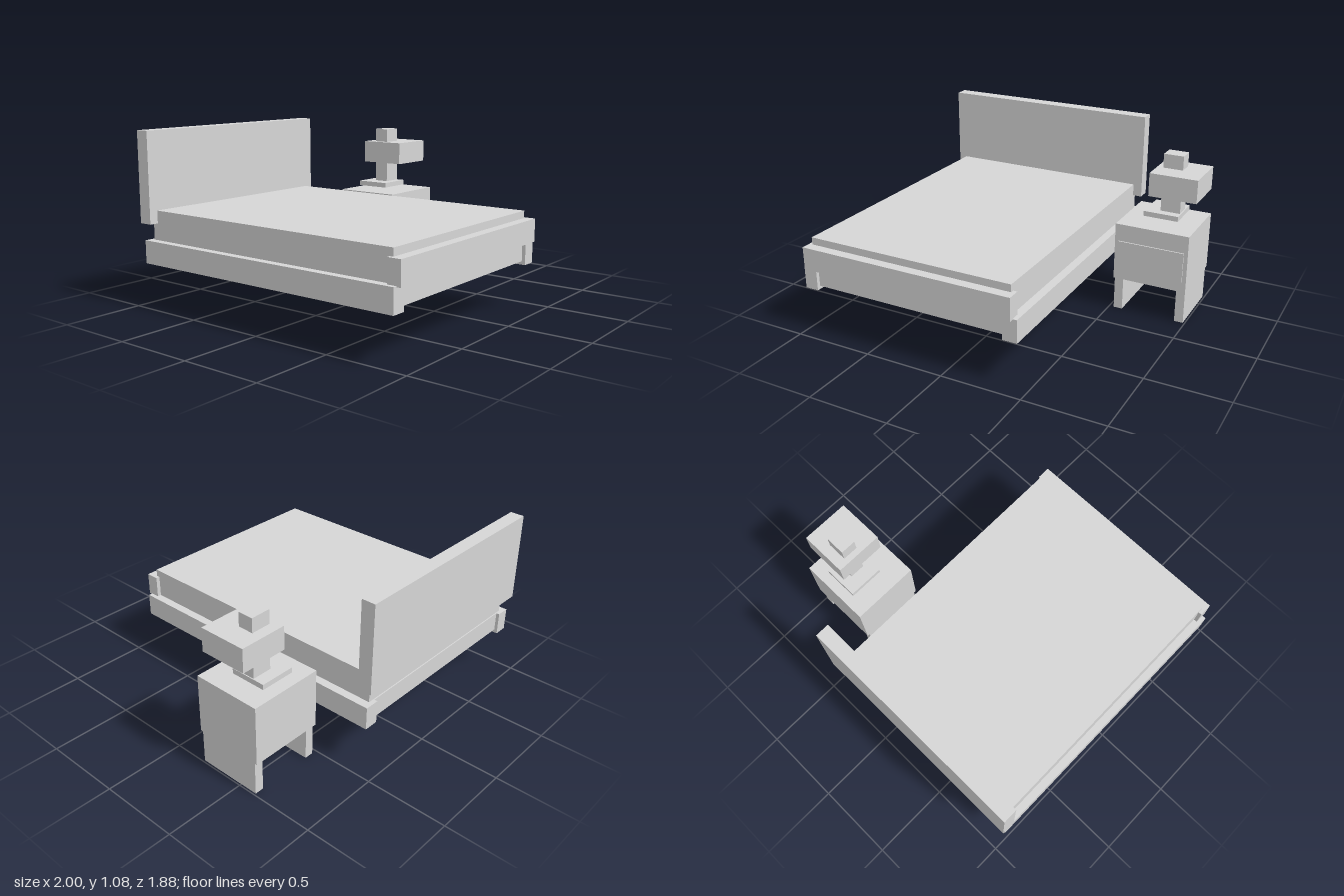
import * as THREE from 'three';

export function createModel() {
  const model = new THREE.Group();
  model.name = 'bedroomSet';

  const lightGrey = new THREE.MeshStandardMaterial({ color: 0xd6d6d6 });
  lightGrey.name = 'lightGrey';

  // Box given by its extents along each axis
  function block(parent, name, [x0, x1], [y0, y1], [z0, z1]) {
    const mesh = new THREE.Mesh(new THREE.BoxGeometry(x1 - x0, y1 - y0, z1 - z0), lightGrey);
    mesh.position.set((x0 + x1) / 2, (y0 + y1) / 2, (z0 + z1) / 2);
    mesh.name = name;
    parent.add(mesh);
  }

  function section(name) {
    const group = new THREE.Group();
    group.name = name;
    model.add(group);
    return group;
  }

  // Bed: rails along both sides carry the base, mattress and boards
  const bed = section('bed');
  block(bed, 'rightRail', [-0.992, -0.905], [0.277, 0.418], [-0.915, 0.915]);
  block(bed, 'leftRail', [0.345, 0.435], [0.277, 0.418], [-0.915, 0.915]);
  block(bed, 'bedBase', [-0.905, 0.345], [0.298, 0.418], [-0.895, 0.893]);
  block(bed, 'mattress', [-0.945, 0.383], [0.418, 0.598], [-0.888, 0.88]);
  block(bed, 'footboard', [-0.967, 0.408], [0.413, 0.553], [0.857, 0.94]);
  block(bed, 'headboard', [-1, 0.441], [0.52, 1.075], [-0.94, -0.853]);

  // Nightstand on two panel legs, with a slightly raised drawer front
  const nightstand = section('nightstand');
  block(nightstand, 'cabinet', [0.525, 0.992], [0.212, 0.578], [-0.63, -0.194]);
  block(nightstand, 'drawerFront', [0.55, 0.967], [0.277, 0.468], [-0.194, -0.186]);
  for (const [name, x] of [['rightPanelLeg', 0.53], ['leftPanelLeg', 0.932]]) {
    block(nightstand, name, [x, x + 0.056], [0, 0.212], [-0.612, -0.206]);
  }

  // Table lamp made of stacked blocks
  const lamp = section('lamp');
  block(lamp, 'lampFoot', [0.648, 0.869], [0.6, 0.632], [-0.567, -0.341]);
  block(lamp, 'lampStem', [0.738, 0.863], [0.632, 1], [-0.492, -0.395]);
  block(lamp, 'lampShade', [0.7, 1], [0.766, 0.912], [-0.56, -0.26]);

  return model;
}
